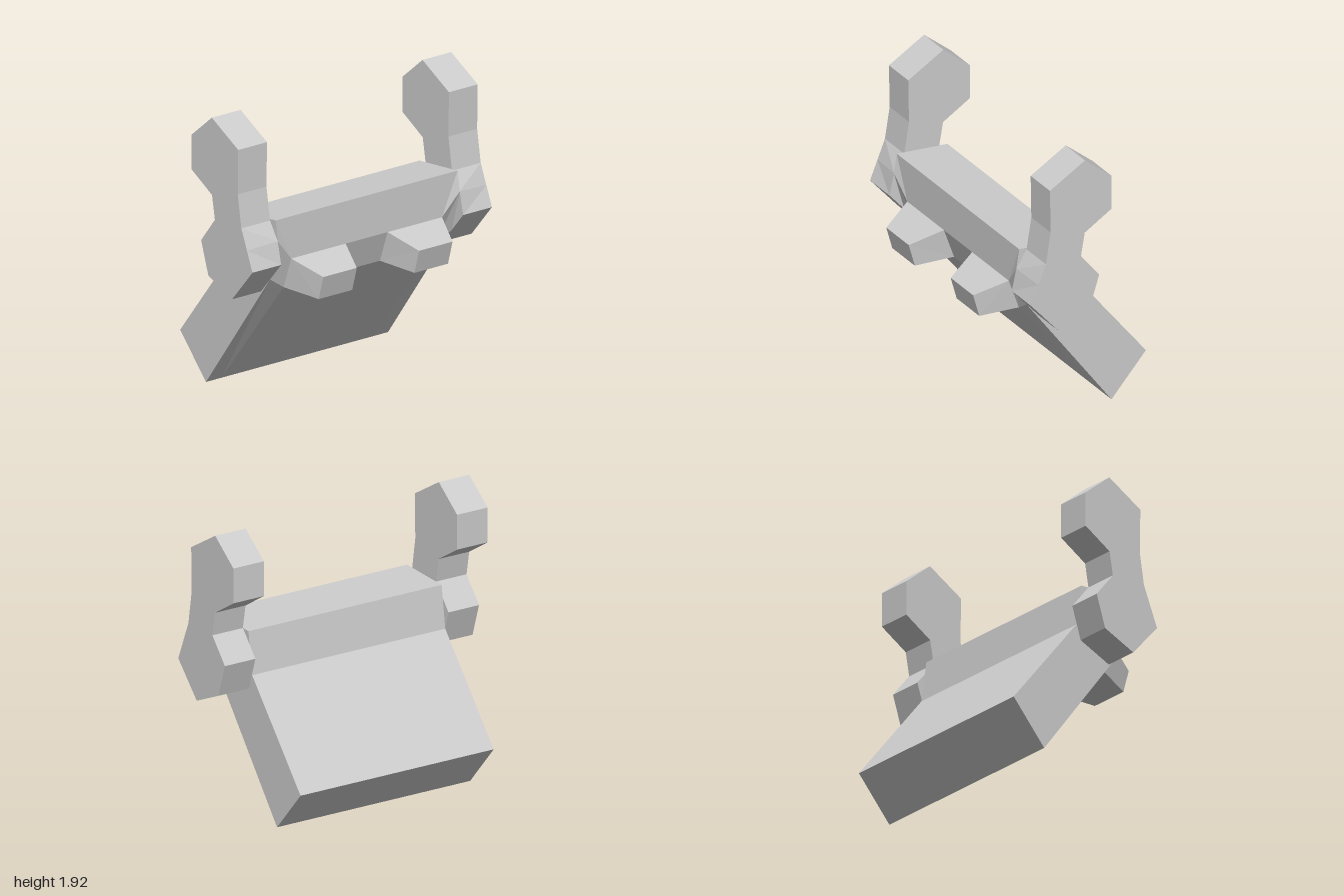
import * as THREE from 'three';

const material = new THREE.MeshStandardMaterial({ color: 0xcccccc, flatShading: true });

// Joins [z, y] outlines, placed at rising x, into a closed faceted solid.
function loft(name, sections) {
  const pos = [];
  const vert = (s, i) => {
    const [z, y] = s.outline[i % s.outline.length];
    pos.push(s.x, y, z);
  };
  for (let k = 0; k + 1 < sections.length; k++) {
    const a = sections[k], b = sections[k + 1];
    for (let i = 0; i < a.outline.length; i++) {
      const j = i + 1;
      const quad = a.x + b.x >= 0
        ? [[a, i], [a, j], [b, i], [a, j], [b, j], [b, i]]
        : [[a, i], [a, j], [b, j], [a, i], [b, j], [b, i]];
      quad.forEach(([s, n]) => vert(s, n));
    }
  }
  // end caps
  const cap = (s, flip) => {
    const pts = s.outline.map(([z, y]) => new THREE.Vector2(-z, y));
    for (const [p, q, r] of THREE.ShapeUtils.triangulateShape(pts, [])) {
      (flip ? [r, q, p] : [p, q, r]).forEach((n) => vert(s, n));
    }
  };
  cap(sections[0], true);
  cap(sections[sections.length - 1], false);

  const geometry = new THREE.BufferGeometry();
  geometry.setAttribute('position', new THREE.Float32BufferAttribute(pos, 3));
  geometry.computeVertexNormals();
  const mesh = new THREE.Mesh(geometry, material);
  mesh.name = name;
  return mesh;
}

// Same solid on either side of the centre plane.
const sided = (name, side, sections) => loft(name,
  sections.map((s) => ({ x: s.x * side, outline: s.outline })).sort((a, b) => a.x - b.x));

export function createModel() {
  const group = new THREE.Group();

  // Main body: upper block with a slab sloping down to the back
  const back = [[-0.32, 0], [-0.575, 0.285], [-0.05, 0.95], [-0.01, 1.235]];
  const inner = [[0.365, 1.265], [0.365, 0.98], [0.29, 0.768], ...back];
  const outer = [[0.365, 1.265], [0.386, 1.13], [0.31, 0.853], ...back];
  group.add(loft('body', [
    { x: -0.76, outline: outer },
    { x: -0.63, outline: inner },
    { x: 0.63, outline: inner },
    { x: 0.76, outline: outer },
  ]));

  // Arm outline; the inner edge swells a little where it meets the body
  const armOutline = (swell) => [
    [0.02, 1.92], [0.28, 1.77], [0.275, 1.47], [0.31, 1.25], swell,
    [0.42, 0.98], [0.22, 0.75], [-0.015, 0.85], [-0.085, 1.07],
    [0.05, 1.24], [0.022, 1.4], [-0.178, 1.52], [-0.178, 1.755],
  ];

  for (const [label, side] of [['left', 1], ['right', -1]]) {
    group.add(sided(label + 'Arm', side, [
      { x: 0.76, outline: armOutline([0.386, 1.13]) },
      { x: 1, outline: armOutline([0.365, 1.115]) },
    ]));

    // Front block: tapers from a wide base to a narrow face
    const root = [[0.365, 0.98], [0.27, 0.9], [0.29, 0.768]];
    const baseEdge = [root[0], root[0], root[2], root[2]];
    const faceEdge = [root[0], [0.575, 0.89], [0.53, 0.73], root[2]];
    group.add(sided(label + 'FrontBlock', side, [
      { x: 0.175, outline: baseEdge },
      { x: 0.26, outline: faceEdge },
      { x: 0.54, outline: faceEdge },
      { x: 0.63, outline: baseEdge },
    ]));
  }
  return group;
}
